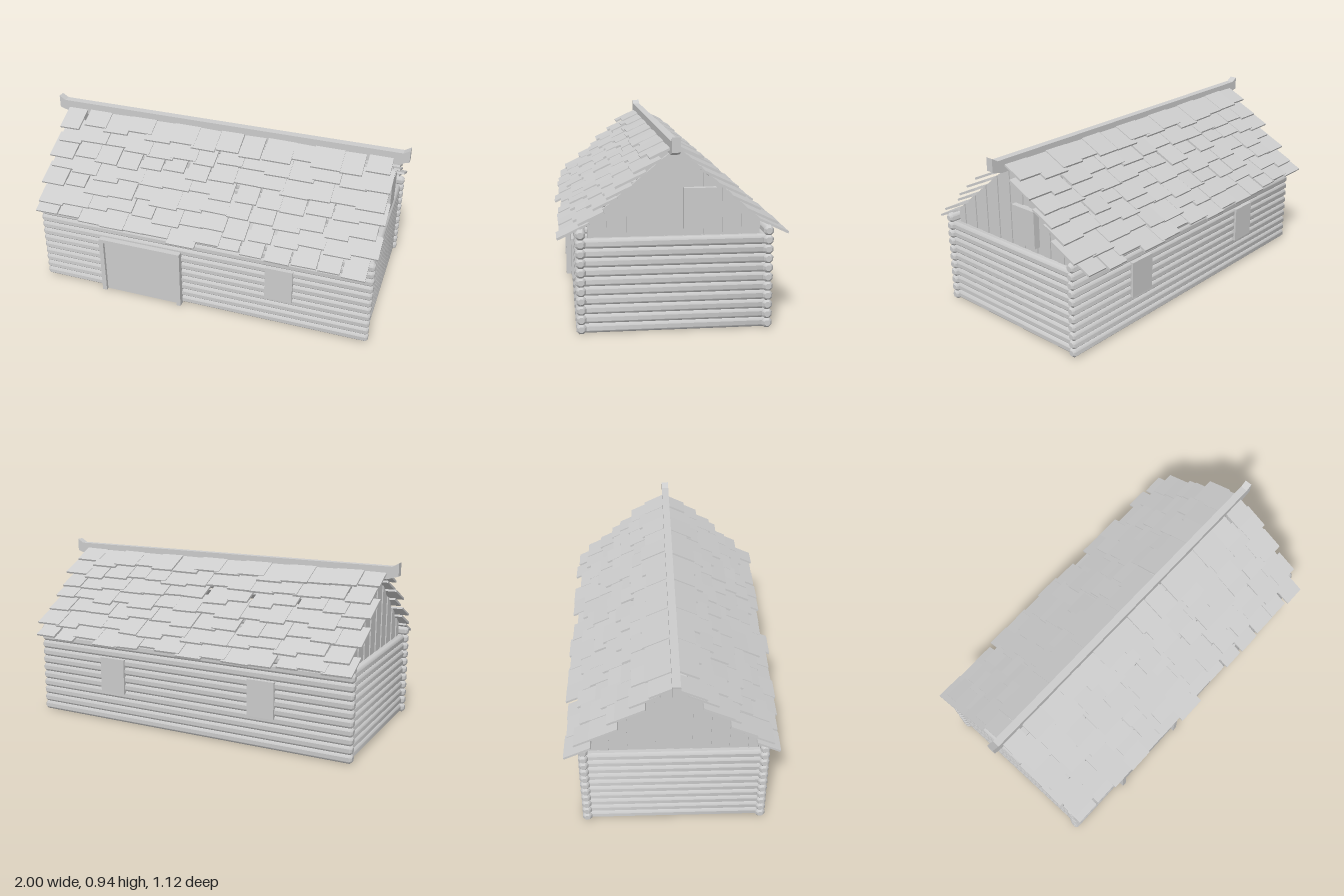
import * as THREE from 'three';
import { toCreasedNormals } from 'three/addons/utils/BufferGeometryUtils.js';

export function createModel() {
  const cabin = new THREE.Group();
  cabin.name = 'logCabin';
  const mat = new THREE.MeshStandardMaterial({ color: 0xcccccc });

  // small seeded generator for the uneven shingles
  let seed = 7;
  const rand = () => {
    seed = (seed * 16807) % 2147483647;
    return seed / 2147483647;
  };

  const group = (name, parent = cabin) => {
    const g = new THREE.Group();
    g.name = name;
    parent.add(g);
    return g;
  };
  const add = (name, geo, parent = cabin) => {
    const m = new THREE.Mesh(geo, mat);
    m.name = name;
    parent.add(m);
    return m;
  };
  // box given by its lower and upper limits
  const box = (name, x0, x1, y0, y1, z0, z1, parent) => {
    const m = add(name, new THREE.BoxGeometry(x1 - x0, y1 - y0, z1 - z0), parent);
    m.position.set((x0 + x1) / 2, (y0 + y1) / 2, (z0 + z1) / 2);
    return m;
  };

  // eight-sided log with chamfered ends, lying along x
  const R = 0.026, STEP = 0.0455;
  const logGeometry = (half) => {
    const profile = [[0, -half], [0.015, -half], [R, -half + 0.012],
      [R, half - 0.012], [0.015, half], [0, half]].map(([x, y]) => new THREE.Vector2(x, y));
    const geo = new THREE.LatheGeometry(profile, 8);
    geo.rotateY(Math.PI / 8);
    geo.rotateZ(-Math.PI / 2);
    return toCreasedNormals(geo, 0.8);
  };
  const longLog = logGeometry(0.94);
  const endLog = logGeometry(0.45).rotateY(Math.PI / 2);
  const walls = group('logWalls');
  for (const s of [-1, 1]) {
    for (let i = 0; i < 11; i++) {
      add('longWallLog', longLog, walls).position.set(0, 0.025 + i * STEP, s * 0.445);
      if (i < 10) add('endWallLog', endLog, walls).position.set(s * 0.9, 0.025 + i * STEP, 0);
    }
  }
  box('floor', -0.9, 0.9, 0.005, 0.02, -0.44, 0.44);

  // gables of upright planks cut to the roof slope
  const roofLine = (z) => 0.872 - 0.83 * Math.abs(z);
  const PLANKS = 18, W = 0.82 / PLANKS;
  for (const s of [-1, 1]) {
    const gable = group(s > 0 ? 'leftGable' : 'rightGable');
    for (let i = 0; i < PLANKS; i++) {
      const a = -0.41 + i * W, b = a + W;
      const shape = new THREE.Shape();
      shape.moveTo(a, 0.44);
      shape.lineTo(b, 0.44);
      shape.lineTo(b, roofLine(b));
      shape.lineTo(a, roofLine(a));
      const geo = new THREE.ExtrudeGeometry(shape, { depth: 0.02, bevelEnabled: false });
      geo.translate(0, 0, -0.01);
      geo.rotateY(-Math.PI / 2);
      add('gablePlank', geo, gable).position.x = s * (i % 2 ? 0.882 : 0.876);
    }
  }

  // door with its frame
  const door = group('door');
  box('doorPanel', -0.552, -0.122, 0.002, 0.326, 0.42, 0.482, door);
  box('doorPost', -0.575, -0.55, 0, 0.345, 0.43, 0.5, door);
  box('doorPost', -0.124, -0.1, 0, 0.345, 0.43, 0.5, door);
  box('doorLintel', -0.55, -0.124, 0.325, 0.345, 0.43, 0.5, door);

  // window shutters
  box('frontWindow', 0.375, 0.525, 0.17, 0.365, 0.42, 0.48);
  for (const x of [-0.45, 0.45]) box('backWindow', x - 0.075, x + 0.075, 0.17, 0.365, -0.48, -0.42);
  box('gableWindow', 0.87, 0.92, 0.495, 0.69, -0.195, -0.04);

  // overlapping rows of uneven shingles on both slopes
  const ROWS = 7, COLS = 14, TILT = 0.44;
  for (const s of [-1, 1]) {
    const slope = group(s > 0 ? 'frontRoof' : 'backRoof');
    for (let r = 0; r < ROWS; r++) {
      const shift = r % 2 ? 0.012 : -0.012;
      const pitch = 1.86 / COLS;
      for (let c = 0; c < COLS; c++) {
        const width = pitch * (0.85 + 0.35 * rand());
        const length = 0.172 - 0.045 * rand();
        const geo = new THREE.BoxGeometry(width, 0.011, length);
        // hung from the upper edge
        geo.translate(0, -0.0055, length / 2);
        const tile = add('shingle', geo, slope);
        const x = -0.93 + (c + 0.5) * pitch + shift + (rand() - 0.5) * 0.02;
        const limit = 0.95 - width / 2;
        tile.position.set(THREE.MathUtils.clamp(x, -limit, limit),
          0.888 - r * 0.0595 + (c % 2) * 0.004, s * (0.003 + r * 0.067));
        tile.rotation.order = 'YXZ';
        tile.rotation.set(TILT, s > 0 ? 0 : Math.PI, (rand() - 0.5) * 0.05);
      }
    }
  }

  // ridge beam with upturned ends
  const half = [[0.94, 0.85], [1, 0.868], [1, 0.937], [0.965, 0.916]];
  const outline = [...half, ...half.map(([x, y]) => [-x, y]).reverse()];
  const ridge = new THREE.ExtrudeGeometry(
    new THREE.Shape(outline.map(([x, y]) => new THREE.Vector2(x, y))),
    { depth: 0.04, bevelEnabled: false });
  add('ridgeBeam', ridge).position.z = -0.012;

  return cabin;
}
